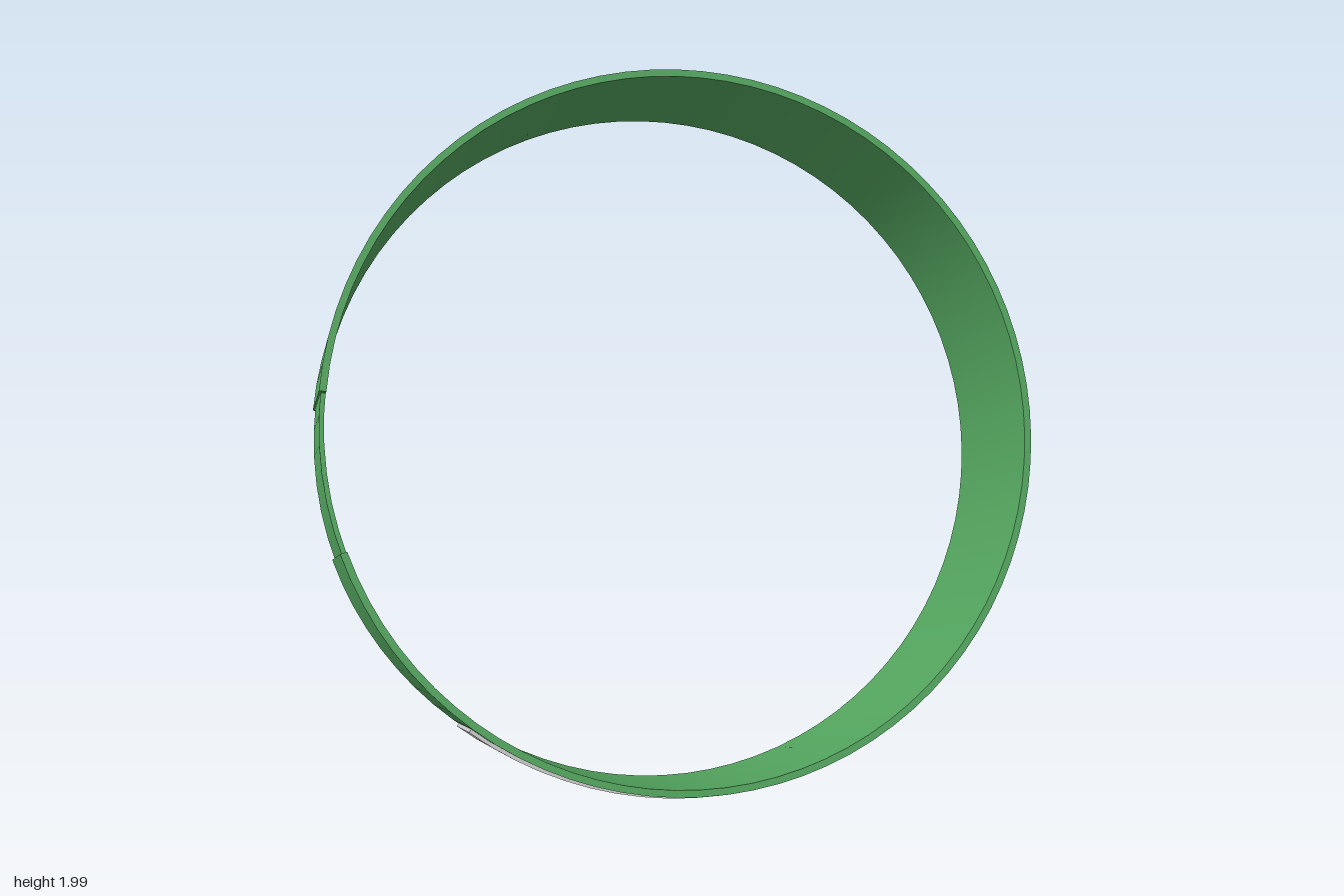
import * as THREE from 'three';
import { toCreasedNormals } from 'three/addons/utils/BufferGeometryUtils.js';

const WIDTH = 0.48;

// Curved strip: a ring sector between two radii, extruded along the ring axis.
function strip(name, material, inner, outer, fromDeg, toDeg, width, segments) {
  const a = THREE.MathUtils.degToRad(fromDeg);
  const b = THREE.MathUtils.degToRad(toDeg);
  const shape = new THREE.Shape();
  shape.absarc(0, 0, outer, a, b, false);
  shape.absarc(0, 0, inner, b, a, true);
  const geometry = new THREE.ExtrudeGeometry(shape, {
    depth: width, bevelEnabled: false, curveSegments: segments,
  });
  geometry.translate(0, 0, -width / 2);
  const mesh = new THREE.Mesh(toCreasedNormals(geometry, 0.5), material);
  mesh.name = name;
  return mesh;
}

export function createModel() {
  const green = new THREE.MeshStandardMaterial({ color: 0x55a860 });
  const grey = new THREE.MeshStandardMaterial({ color: 0xcccccc });

  const model = new THREE.Group();
  model.name = 'wristband';

  // Main band, open on the left side
  model.add(strip('band', green, 0.956, 0.975, 146, 481, WIDTH, 40));
  // Narrower tab closing the gap
  model.add(strip('closureTab', green, 0.957, 0.97, 120, 147, WIDTH - 0.08, 3));
  // Raised label strip around the outside
  model.add(strip('labelStrip', grey, 0.972, 0.985, -180, 68, 0.306, 30));

  // Lean the ring: its axis points forward, up and to the right
  const axis = new THREE.Vector3(-0.373, 0.373, 0.85).normalize();
  const u = new THREE.Vector3(1, 1, 0).normalize();
  const v = new THREE.Vector3().crossVectors(axis, u);
  model.quaternion.setFromRotationMatrix(new THREE.Matrix4().makeBasis(u, v, axis));
  model.position.y = 1;

  const root = new THREE.Group();
  root.add(model);
  return root;
}
